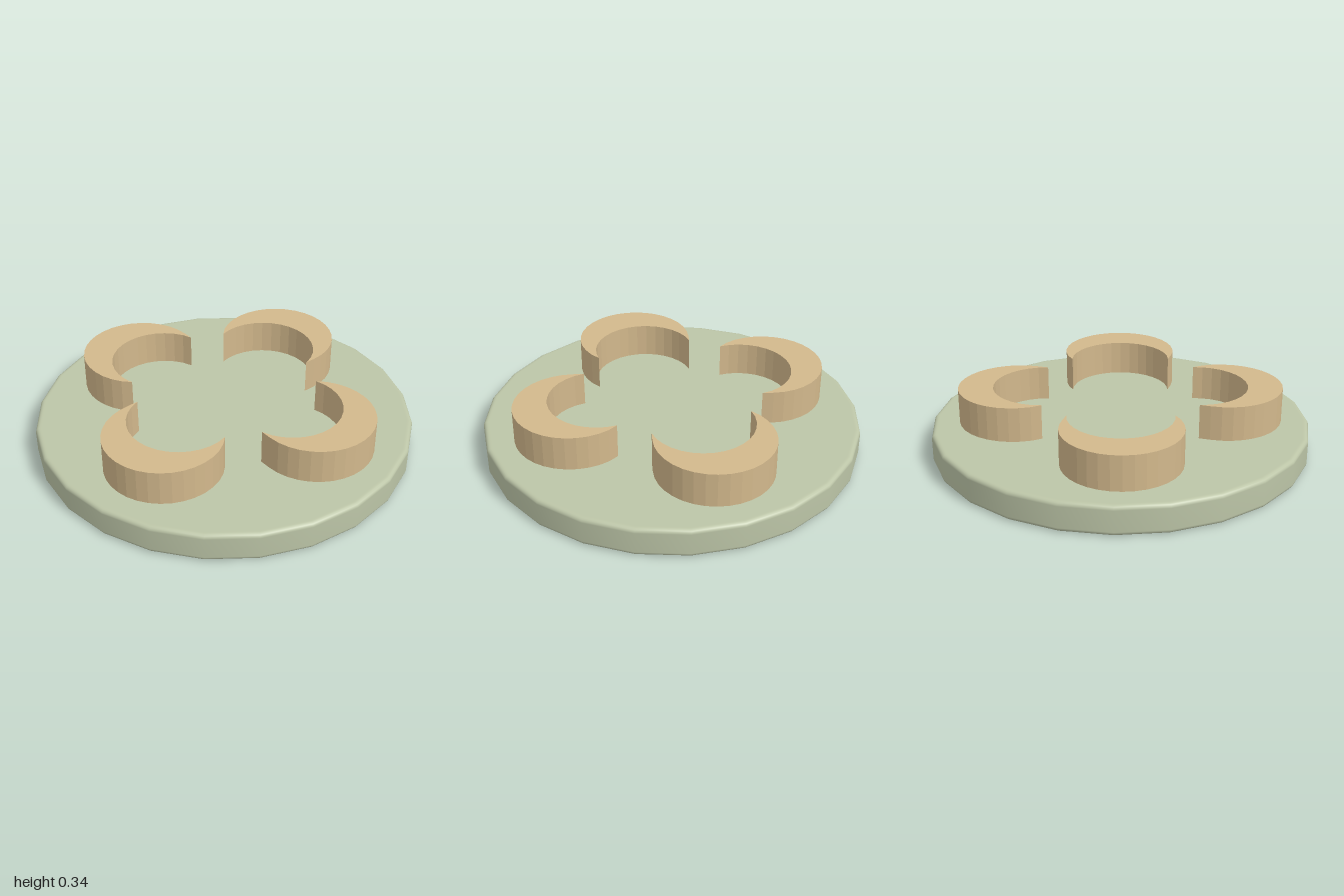
import * as THREE from 'three';

const DISC_TOP = 0.155;
const BEVEL = 0.022;

// Rounded-edge disc with 24 sides, smooth round the rim
function discGeometry() {
  const points = [new THREE.Vector2(0, 0), new THREE.Vector2(0.97, 0)];
  const corner = (y, from) => {
    for (let i = 0; i <= 4; i++) {
      const a = from + (i / 4) * Math.PI / 2;
      points.push(new THREE.Vector2(1 - BEVEL + BEVEL * Math.cos(a), y + BEVEL * Math.sin(a)));
    }
  };
  corner(BEVEL, -Math.PI / 2);
  corner(DISC_TOP - BEVEL, 0);
  points.push(new THREE.Vector2(0.97, DISC_TOP), new THREE.Vector2(0, DISC_TOP));
  return new THREE.LatheGeometry(points, 24);
}

// Crescent between a large outer arc and a smaller inner arc sharing two tips
function crescentGeometry() {
  const tipA = new THREE.Vector2(-0.14, -0.46);
  const tipB = new THREE.Vector2(0.375, -0.305);
  const arc = (cx, cy, r, count) => {
    const start = Math.atan2(tipA.y - cy, tipA.x - cx);
    let end = Math.atan2(tipB.y - cy, tipB.x - cx);
    if (end < start) end += Math.PI * 2;
    const pts = [];
    for (let i = 1; i < count; i++) {
      const a = start + (end - start) * i / count;
      pts.push(new THREE.Vector2(cx + r * Math.cos(a), cy + r * Math.sin(a)));
    }
    return pts;
  };
  const outer = arc(0.165, -0.525, 0.306, 22);
  const inner = arc(0.118, -0.385, 0.27, 16).reverse();
  const shape = new THREE.Shape([tipA, ...outer, tipB, ...inner]);
  const geometry = new THREE.ExtrudeGeometry(shape, { depth: 0.34 - DISC_TOP, bevelEnabled: false });
  geometry.rotateX(-Math.PI / 2);
  return geometry.translate(0, DISC_TOP, 0);
}

export function createModel() {
  const sage = new THREE.MeshStandardMaterial({ color: 0xbcc5a7 });
  sage.name = 'sageGreen';
  const tan = new THREE.MeshStandardMaterial({ color: 0xd2b88c });
  tan.name = 'tan';

  const model = new THREE.Group();
  model.name = 'crescentDisc';

  const base = new THREE.Mesh(discGeometry(), sage);
  base.name = 'baseDisc';
  model.add(base);

  // Four crescents, a quarter turn apart
  const geometry = crescentGeometry();
  for (let i = 0; i < 4; i++) {
    const crescent = new THREE.Mesh(geometry, tan);
    crescent.name = `crescent${i + 1}`;
    crescent.rotation.y = i * Math.PI / 2;
    model.add(crescent);
  }
  return model;
}
